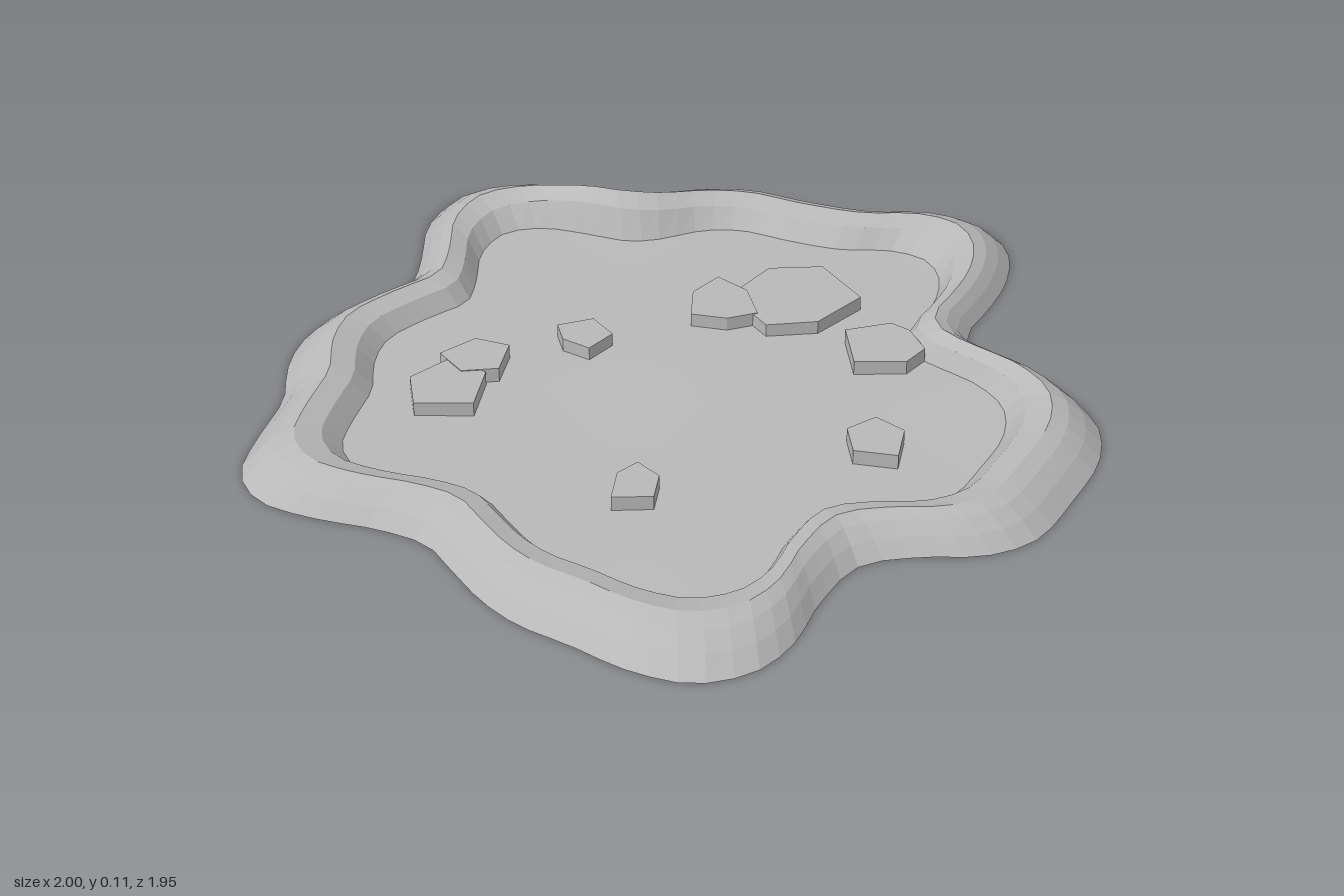
import * as THREE from 'three';

const SEGMENTS = 110;

// Star-like bank outline, x and z, running round the basin
const OUTLINE = [
  [1, 0.03], [0.96, 0.13], [0.86, 0.215], [0.74, 0.27], [0.62, 0.315], [0.58, 0.38], [0.585, 0.5],
  [0.6, 0.62], [0.57, 0.76], [0.47, 0.86], [0.31, 0.925], [0.14, 0.97], [0.02, 0.935], [-0.08, 0.85],
  [-0.2, 0.785], [-0.35, 0.82], [-0.48, 0.88], [-0.6, 0.895], [-0.72, 0.84], [-0.79, 0.72],
  [-0.825, 0.58], [-0.86, 0.46], [-0.865, 0.35], [-0.845, 0.22], [-0.83, 0.12], [-0.87, 0.01],
  [-0.95, -0.12], [-1, -0.25], [-0.97, -0.36], [-0.86, -0.45], [-0.73, -0.535], [-0.64, -0.64],
  [-0.53, -0.715], [-0.37, -0.73], [-0.22, -0.73], [-0.12, -0.81], [0, -0.93], [0.13, -0.975],
  [0.24, -0.92], [0.32, -0.8], [0.385, -0.68], [0.46, -0.62], [0.6, -0.56], [0.69, -0.48],
  [0.76, -0.34], [0.85, -0.19], [0.96, -0.08],
];

// Cross-section of the bank: scale of the outline, height
const BANK = [[1, 0], [0.96, 0.036], [0.92, 0.062], [0.88, 0.076], [0.82, 0.06], [0.77, 0.008]];

// Flat stones on the floor: corners in x and z
const STONES = [
  [[-0.56, -0.27], [-0.5, -0.36], [-0.38, -0.36], [-0.36, -0.26], [-0.46, -0.18]],
  [[-0.39, -0.39], [-0.29, -0.385], [-0.25, -0.31], [-0.33, -0.25], [-0.4, -0.3]],
  [[-0.11, -0.305], [-0.03, -0.27], [-0.04, -0.19], [-0.12, -0.18], [-0.14, -0.25]],
  [[0.15, -0.13], [0.22, -0.2], [0.31, -0.21], [0.32, -0.12], [0.27, -0.03], [0.2, -0.06]],
  [[0.31, -0.14], [0.43, -0.16], [0.53, -0.08], [0.5, 0.08], [0.35, 0.09], [0.25, 0.02], [0.26, -0.04]],
  [[0.37, 0.16], [0.47, 0.21], [0.48, 0.26], [0.45, 0.34], [0.38, 0.35], [0.29, 0.27]],
  [[0.09, 0.45], [0.17, 0.46], [0.18, 0.54], [0.1, 0.6], [0.04, 0.52]],
  [[-0.4, 0.24], [-0.34, 0.24], [-0.34, 0.31], [-0.4, 0.36], [-0.47, 0.3]],
];

// Builds a surface from scaled copies of the outline; heightAt gives y
function loftRings(rim, rings, heightAt) {
  const positions = [], index = [];
  rings.forEach(([scale, height]) => rim.forEach((p) => {
    const x = p.x * scale, z = p.z * scale;
    positions.push(x, heightAt(x, z, height), z);
  }));
  const n = rim.length;
  for (let r = 0; r < rings.length - 1; r++) {
    for (let i = 0; i < n; i++) {
      const j = (i + 1) % n;
      const a = r * n + i, b = r * n + j, c = a + n, d = b + n;
      index.push(a, c, b, b, c, d);
    }
  }
  const geometry = new THREE.BufferGeometry();
  geometry.setAttribute('position', new THREE.Float32BufferAttribute(positions, 3));
  geometry.setIndex(index);
  geometry.computeVertexNormals();
  return geometry;
}

// Uneven crest, highest at the back left
function bankHeight(x, z, height) {
  const bump = 0.45 * Math.exp(-((x - 0.33) ** 2 + (z + 0.62) ** 2) / 0.03);
  const ripple = 0.05 * Math.sin(5 * x + 2) * Math.cos(4 * z);
  return height * (1 + bump + ripple);
}

function floorHeight(x, z, height) {
  return height + 0.003 * Math.sin(6 * x + 1) * Math.cos(5 * z);
}

export function createModel() {
  const model = new THREE.Group();
  model.name = 'rockyBasin';

  const stone = new THREE.MeshStandardMaterial({ color: 0xb8b8b8, side: THREE.DoubleSide, flatShading: true });
  stone.name = 'grey stone';
  const smoothStone = stone.clone();
  smoothStone.flatShading = false;

  const curve = new THREE.CatmullRomCurve3(OUTLINE.map(([x, z]) => new THREE.Vector3(x, 0, z)), true);
  const rim = curve.getSpacedPoints(SEGMENTS).slice(0, SEGMENTS);

  const add = (name, geometry, material, parent = model) => {
    const mesh = new THREE.Mesh(geometry, material);
    mesh.name = name;
    parent.add(mesh);
    return mesh;
  };

  // Raised bank, open underneath
  add('bank', loftRings(rim, BANK, bankHeight), stone);

  // Gently uneven floor, tucked under the bank
  const floorRings = [0.87, 0.7, 0.52, 0.34, 0.17, 0].map((s) => [s, 0.015]);
  add('floor', loftRings(rim, floorRings, floorHeight), smoothStone);

  // Stones
  const stones = new THREE.Group();
  stones.name = 'stones';
  model.add(stones);
  STONES.forEach((corners, i) => {
    const shape = new THREE.Shape(corners.map(([x, z]) => new THREE.Vector2(x, -z)));
    const geometry = new THREE.ExtrudeGeometry(shape, { depth: 0.037, bevelEnabled: false });
    geometry.rotateX(-Math.PI / 2).translate(0, 0.011 + 0.002 * (i % 2), 0);
    add(`stone${i + 1}`, geometry, stone, stones);
  });

  return model;
}
